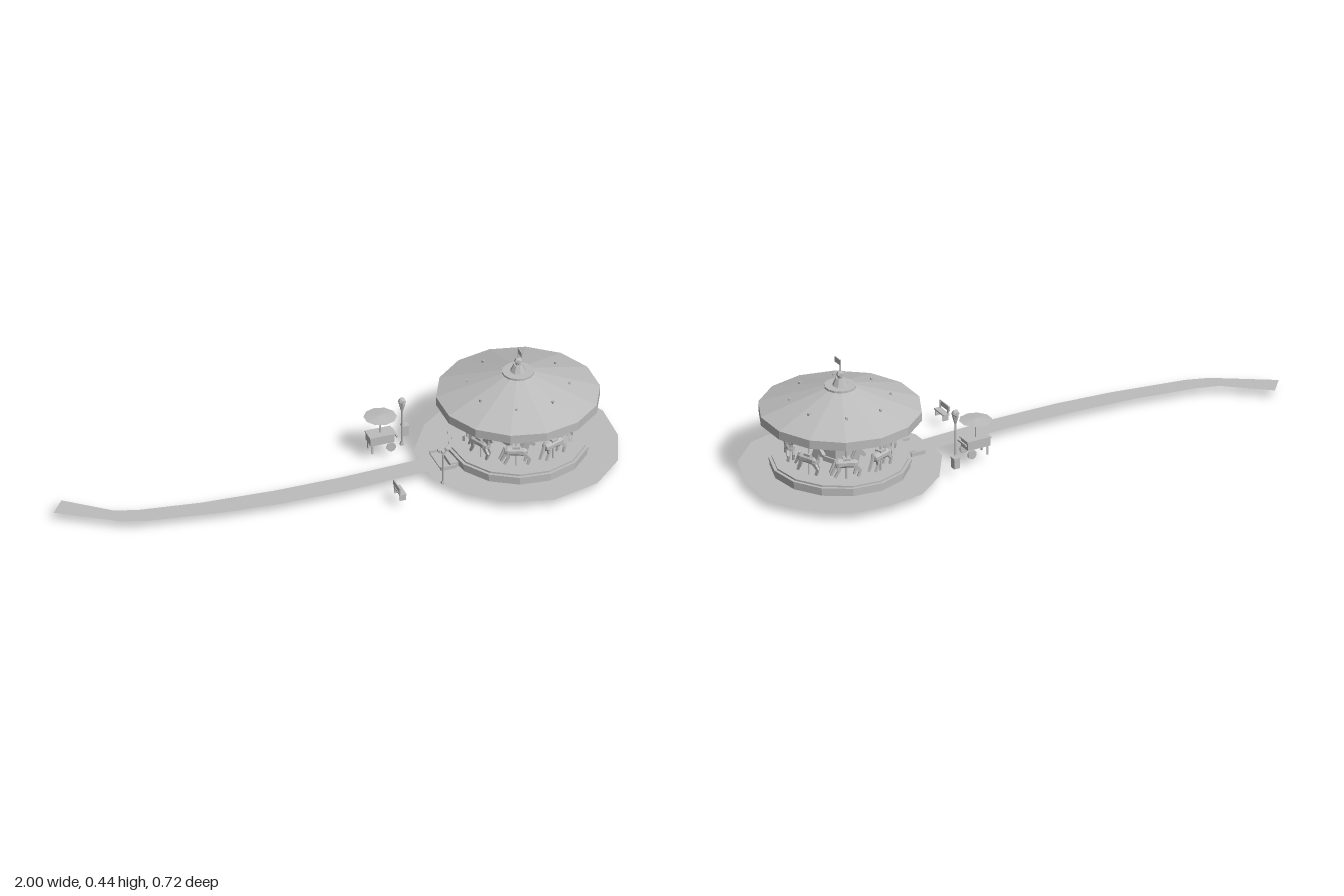
import * as THREE from 'three';

const CX = 0.645, CZ = -0.008, GROUND = 0.03;
const grey = new THREE.MeshStandardMaterial({ color: 0xbcbcbc, flatShading: true });
grey.name = 'plain grey';
const sheet = new THREE.MeshStandardMaterial({ color: 0xbcbcbc, side: THREE.DoubleSide });
sheet.name = 'plain grey sheet';

function add(parent, name, geo, x = 0, y = 0, z = 0, mat = grey) {
  const m = new THREE.Mesh(geo, mat);
  m.name = name;
  m.position.set(x, y, z);
  parent.add(m);
  return m;
}
function group(parent, name, x, y, z) {
  const g = new THREE.Group();
  g.name = name;
  g.position.set(x, y, z);
  parent.add(g);
  return g;
}
const box = (w, h, d) => new THREE.BoxGeometry(w, h, d);
const cyl = (top, bottom, h, n) => new THREE.CylinderGeometry(top, bottom, h, n);
const lathe = (pts, n) => new THREE.LatheGeometry(pts.map(p => new THREE.Vector2(...p)), n);

// Tapered bar between two points in the xy plane
function bar(parent, name, a, b, w0, w1, depth, z = 0) {
  const len = Math.hypot(b[0] - a[0], b[1] - a[1]);
  const geo = box(w0, len, depth), p = geo.attributes.position;
  for (let i = 0; i < p.count; i++) if (p.getY(i) > 0) p.setX(i, p.getX(i) * w1 / w0);
  const m = add(parent, name, geo, (a[0] + b[0]) / 2, (a[1] + b[1]) / 2, z);
  m.rotation.z = Math.atan2(b[1] - a[1], b[0] - a[0]) - Math.PI / 2;
}

// Flat outline lying on the ground
function flat(parent, name, pts, y) {
  const geo = new THREE.ShapeGeometry(new THREE.Shape(pts.map(([x, z]) => new THREE.Vector2(x, -z))));
  geo.rotateX(-Math.PI / 2);
  add(parent, name, geo, 0, y, 0, sheet);
}

// Galloping horse facing +x
function addHorse(parent, angle, r) {
  const h = group(parent, 'horse', r * Math.cos(angle), 0, -r * Math.sin(angle));
  h.rotation.y = angle + Math.PI / 2;
  const body = add(h, 'horseBody', lathe([[0, -0.041], [0.013, -0.039], [0.018, -0.03], [0.016, 0],
    [0.018, 0.028], [0.013, 0.039], [0, 0.041]], 8), 0, 0.126, 0);
  body.rotation.set(Math.PI / 8, 0, -Math.PI / 2);
  add(h, 'saddle', box(0.026, 0.008, 0.026), 0, 0.143, 0);
  bar(h, 'neck', [0.027, 0.13], [0.044, 0.182], 0.026, 0.017, 0.014);
  bar(h, 'head', [0.036, 0.182], [0.064, 0.155], 0.021, 0.013, 0.015);
  bar(h, 'mane', [0.017, 0.145], [0.032, 0.187], 0.006, 0.006, 0.006);
  bar(h, 'tail', [-0.037, 0.139], [-0.058, 0.092], 0.01, 0.006, 0.008);
  for (const s of [-1, 1]) {
    bar(h, 'ear', [0.037, 0.182], [0.038, 0.193], 0.006, 0.003, 0.004, s * 0.005);
    const k = s * 0.006;
    bar(h, 'frontThigh', [0.027, 0.122], [0.042 + k, 0.1], 0.014, 0.01, 0.009, s * 0.01);
    bar(h, 'frontShin', [0.042 + k, 0.103], [0.034 + k, 0.078], 0.009, 0.008, 0.008, s * 0.01);
    bar(h, 'rearThigh', [-0.027, 0.122], [-0.033 + k, 0.1], 0.016, 0.01, 0.009, s * 0.01);
    bar(h, 'rearShin', [-0.033 + k, 0.103], [-0.046 + k, 0.077], 0.009, 0.008, 0.008, s * 0.01);
  }
  add(h, 'horsePole', cyl(0.003, 0.003, 0.236, 6), 0, 0.182, 0);
  add(h, 'poleCap', box(0.008, 0.009, 0.008), 0, 0.295, 0);
}

function addCarousel(root) {
  const c = group(root, 'carousel', CX, 0, CZ);
  add(c, 'platform', lathe([[0, 0], [0.243, 0], [0.243, 0.05], [0.247, 0.05], [0.247, 0.06],
    [0.236, 0.06], [0.236, 0.066], [0, 0.066]], 14).rotateY(0.12));
  add(c, 'columnBase', cyl(0.067, 0.067, 0.018, 8), 0, 0.075, 0);
  add(c, 'column', cyl(0.06, 0.06, 0.25, 8), 0, 0.19, 0);
  add(c, 'columnTop', cyl(0.067, 0.067, 0.012, 8), 0, 0.228, 0);
  // Thin-walled roof with valance
  add(c, 'roof', lathe([[0, 0.322], [0.05, 0.322], [0.279, 0.25], [0.279, 0.224], [0.285, 0.224],
    [0.285, 0.256], [0.054, 0.334], [0.056, 0.334], [0.056, 0.341], [0, 0.341]], 14));
  add(c, 'finialCone', cyl(0.016, 0.028, 0.026, 8), 0, 0.354, 0);
  add(c, 'finialNeck', cyl(0.01, 0.01, 0.008, 8), 0, 0.369, 0);
  add(c, 'finialBall', new THREE.IcosahedronGeometry(0.015, 0), 0, 0.381, 0);
  add(c, 'flagPole', cyl(0.0025, 0.0025, 0.046, 6), 0, 0.413, 0);
  add(c, 'flag', box(0.003, 0.02, 0.036), 0, 0.425, 0.02);
  for (let i = 0; i < 8; i++) addHorse(c, Math.PI * (i + 0.5) / 4, 0.176);
}

function addCart(root) {
  const c = group(root, 'snackCart', 0.195, 0, -0.16);
  add(c, 'cartBody', box(0.088, 0.03, 0.05), 0, 0.078, 0);
  add(c, 'cartTop', box(0.094, 0.005, 0.056), 0, 0.095, 0);
  add(c, 'cartHandle', box(0.006, 0.006, 0.056), 0.052, 0.085, 0);
  for (const s of [-1, 1]) {
    add(c, 'cartWheel', cyl(0.017, 0.017, 0.006, 10), 0.03, 0.048, s * 0.028).rotation.x = Math.PI / 2;
    add(c, 'cartLeg', box(0.006, 0.035, 0.006), -0.036, 0.047, s * 0.02);
  }
  add(c, 'umbrellaPost', cyl(0.002, 0.002, 0.07, 6), 0, 0.13, 0);
  add(c, 'umbrella', cyl(0.004, 0.058, 0.006, 10), 0, 0.165, 0);
}

function addProps(root) {
  // Tall single lamp
  const tall = group(root, 'tallLamp', 0.275, 0, -0.16);
  add(tall, 'lampFoot', cyl(0.006, 0.009, 0.012, 6), 0, 0.036, 0);
  add(tall, 'lampPost', cyl(0.003, 0.004, 0.14, 6), 0, 0.1, 0);
  add(tall, 'lampHolder', cyl(0.012, 0.004, 0.03, 6), 0, 0.182, 0);
  add(tall, 'lampGlobe', new THREE.IcosahedronGeometry(0.015, 0), 0, 0.206, 0);
  // Double lamp beside the path
  const twin = group(root, 'doubleLamp', 0.322, 0, 0.12);
  add(twin, 'lampFoot', cyl(0.006, 0.009, 0.01, 6), 0, 0.035, 0);
  add(twin, 'lampPost', cyl(0.003, 0.004, 0.125, 6), 0, 0.0925, 0);
  for (const s of [-1, 1]) {
    bar(twin, 'lampArm', [0, 0.146], [s * 0.014, 0.16], 0.004, 0.004, 0.004);
    add(twin, 'lampGlobe', new THREE.IcosahedronGeometry(0.009, 0), s * 0.014, 0.167, 0);
  }
  // Bin
  add(root, 'bin', box(0.022, 0.036, 0.022), 0.307, 0.048, -0.217);
  add(root, 'binLid', box(0.026, 0.005, 0.026), 0.307, 0.068, -0.217);
  // Bench
  const b = group(root, 'bench', 0.154, GROUND, 0.147);
  add(b, 'benchSeat', box(0.024, 0.005, 0.066), 0, 0.023, 0);
  add(b, 'benchBack', box(0.004, 0.018, 0.066), -0.012, 0.043, 0);
  for (const s of [-1, 1]) {
    add(b, 'benchLeg', box(0.022, 0.022, 0.005), 0, 0.011, s * 0.026);
    add(b, 'benchStrut', box(0.004, 0.03, 0.005), -0.01, 0.035, s * 0.026);
  }
  // Steps from the path up to the platform
  add(root, 'lowerStep', box(0.05, 0.014, 0.105), 0.368, 0.028, -0.012);
  add(root, 'upperStep', box(0.03, 0.028, 0.105), 0.393, 0.035, -0.012);
  for (const z of [-0.068, 0.044]) add(root, 'stepSide', box(0.055, 0.022, 0.006), 0.37, 0.033, z);
}

export function createModel() {
  const root = new THREE.Group();
  root.name = 'fairground';
  // Paved round and winding path
  flat(root, 'plaza', [[0.998, -0.123], [0.993, 0.043], [0.938, 0.193], [0.82, 0.305], [0.645, 0.353],
    [0.484, 0.31], [0.377, 0.214], [0.297, 0.08], [0.297, -0.107], [0.39, -0.25], [0.51, -0.342],
    [0.645, -0.364], [0.767, -0.358], [0.874, -0.294], [0.938, -0.225]], GROUND);
  flat(root, 'path', [[-1, -0.17], [-0.8, -0.037], [-0.72, -0.01], [-0.45, 0.032], [-0.24, 0.049],
    [0, 0.05], [0.31, 0.03], [0.31, -0.05], [0, -0.036], [-0.24, -0.037], [-0.5, -0.053],
    [-0.72, -0.085], [-0.8, -0.11], [-0.948, -0.235]], GROUND);
  addCarousel(root);
  addCart(root);
  addProps(root);
  return root;
}
